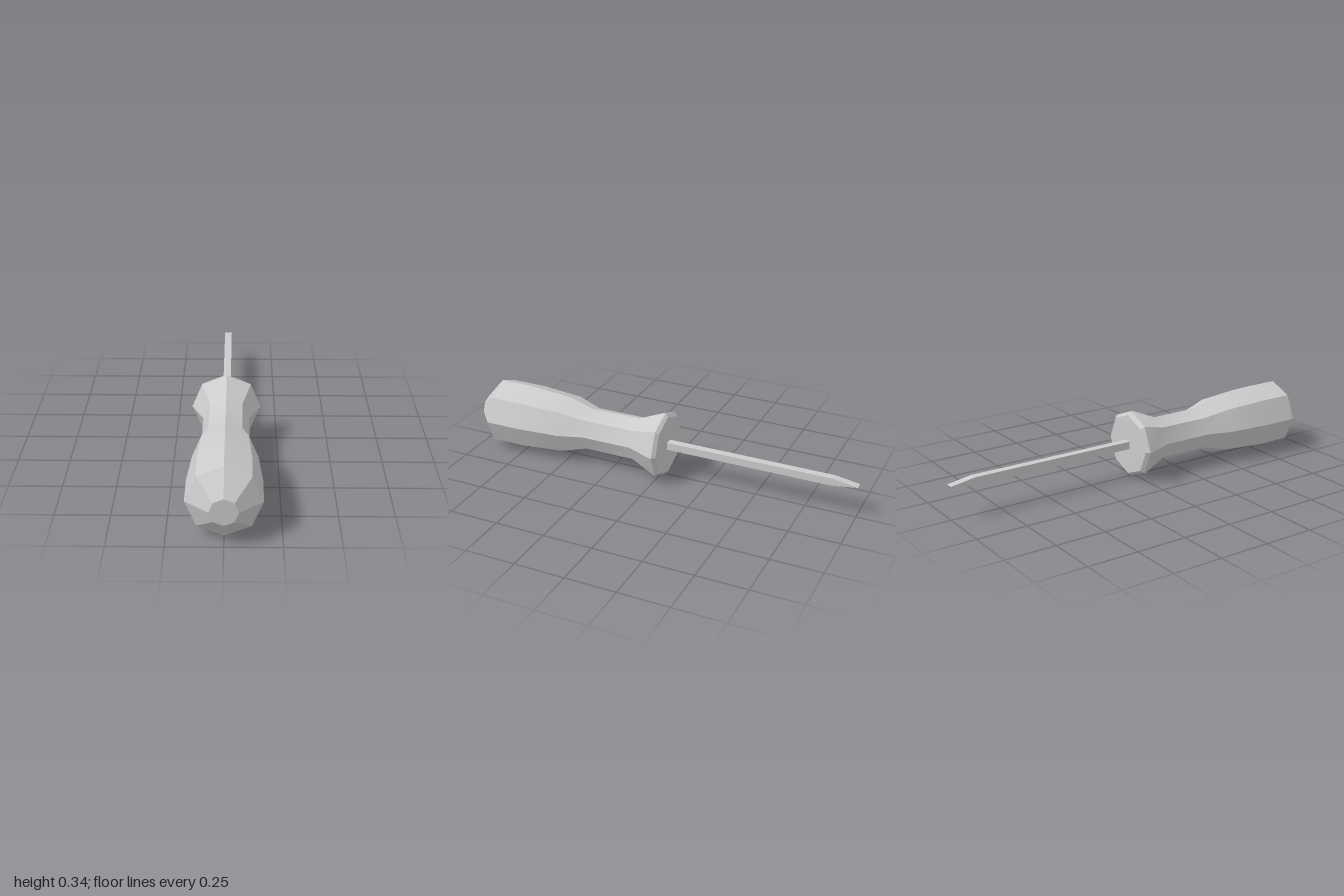
import * as THREE from 'three';
import { toCreasedNormals } from 'three/addons/utils/BufferGeometryUtils.js';

export function createModel() {
  const model = new THREE.Group();
  model.name = 'screwdriver';
  const material = new THREE.MeshStandardMaterial({ color: 0xcccccc });
  const axisY = 0.169;

  // Octagonal handle: [radius, z] from the flange at the back to the butt at the front
  const profile = [
    [0, -0.037], [0.152, -0.034], [0.168, -0.018], [0.168, -0.008],
    [0.111, 0.125], [0.111, 0.385], [0.15, 0.51], [0.168, 0.73],
    [0.168, 0.91], [0.064, 1], [0, 1],
  ].map(([r, z]) => new THREE.Vector2(r, z));
  const handleGeometry = new THREE.LatheGeometry(profile, 8);
  handleGeometry.rotateX(Math.PI / 2);
  const handle = new THREE.Mesh(toCreasedNormals(handleGeometry, 0.44), material);
  handle.name = 'handle';
  handle.position.y = axisY;
  model.add(handle);

  // Square shaft with a wedge tip: side outline extruded across the width
  const half = 0.019;
  const outline = new THREE.Shape([
    [0, -half], [0.88, -half], [1, 0], [0.88, half], [0, half],
  ].map(([x, y]) => new THREE.Vector2(x, y)));
  const shaftGeometry = new THREE.ExtrudeGeometry(outline, { depth: half * 2, bevelEnabled: false });
  shaftGeometry.translate(0, 0, -half);
  shaftGeometry.rotateY(Math.PI / 2);
  const shaft = new THREE.Mesh(shaftGeometry, material);
  shaft.name = 'shaft';
  shaft.position.y = axisY;
  model.add(shaft);

  return model;
}
